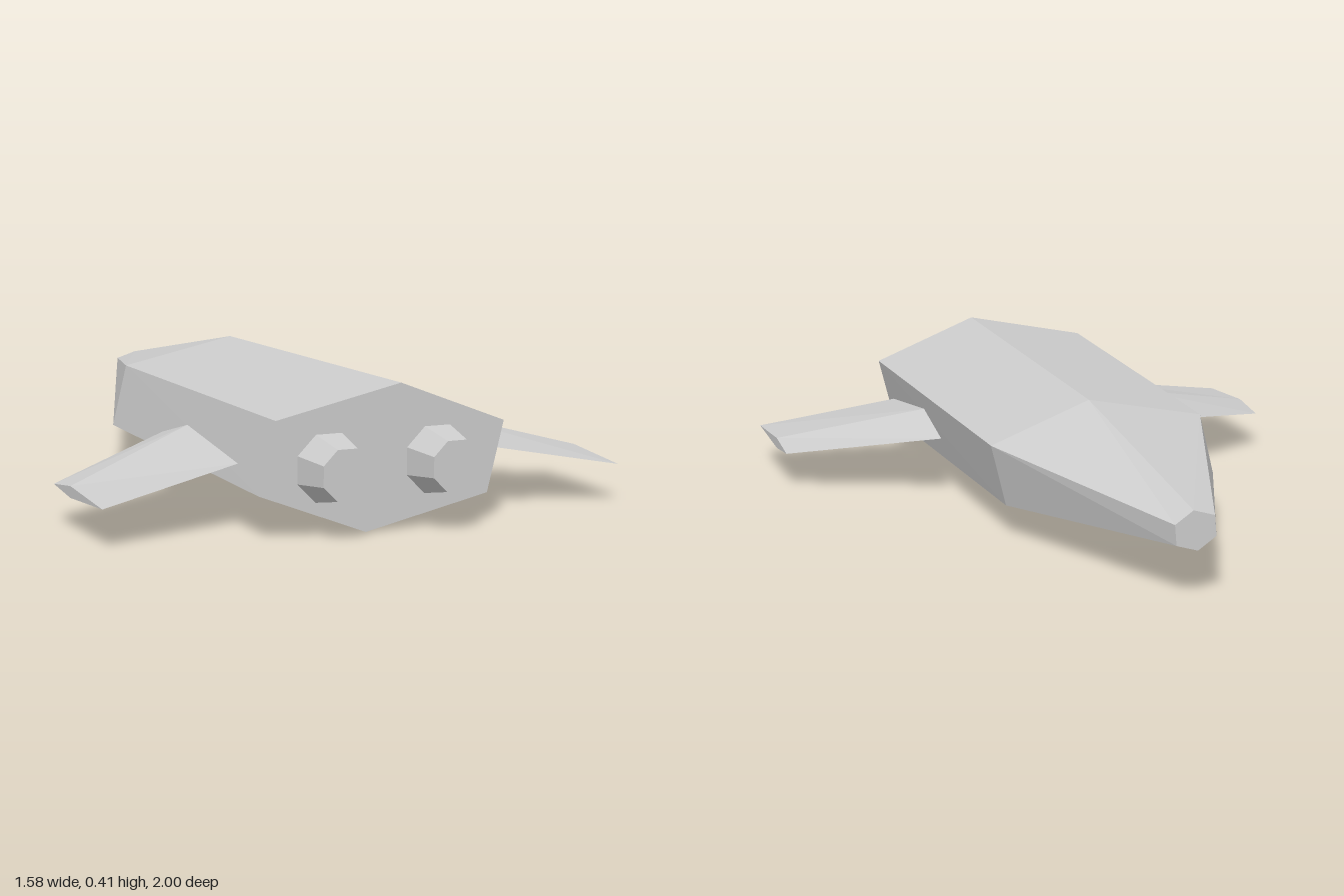
import * as THREE from 'three';

// Skin a closed, faceted solid over rings of points; each ring runs clockwise
// when looking from the first ring towards the last.
function loft(rings) {
  const n = rings[0].length;
  const pos = [];
  const tri = (a, b, c) => pos.push(...a, ...b, ...c);
  for (let i = 0; i < rings.length - 1; i++) {
    const r = rings[i], s = rings[i + 1];
    for (let j = 0; j < n; j++) {
      const k = (j + 1) % n;
      tri(r[j], r[k], s[k]);
      tri(r[j], s[k], s[j]);
    }
  }
  const first = rings[0], last = rings[rings.length - 1];
  for (let j = 1; j < n - 1; j++) {
    tri(first[0], first[j + 1], first[j]);
    tri(last[0], last[j], last[j + 1]);
  }
  const geometry = new THREE.BufferGeometry();
  geometry.setAttribute('position', new THREE.Float32BufferAttribute(pos, 3));
  geometry.computeVertexNormals();
  return geometry;
}

// Skewed hexagon: three corners, repeated by a half turn about (0, cy)
function hexagon(z, cy, corners) {
  return [
    ...corners.map(([x, y]) => [x, cy + y, z]),
    ...corners.map(([x, y]) => [-x, cy - y, z]),
  ];
}

export function createModel() {
  const model = new THREE.Group();
  model.name = 'spacecraft';
  const hullGrey = new THREE.MeshStandardMaterial({ color: 0xcccccc });
  hullGrey.name = 'hull grey';

  const add = (name, geometry) => {
    const mesh = new THREE.Mesh(geometry, hullGrey);
    mesh.name = name;
    model.add(mesh);
    return mesh;
  };

  // Hull: stern, shoulder and nose tip
  add('hull', loft([
    hexagon(0.885, 0.206, [[0.052, 0.203], [0.373, 0.078], [0.323, -0.123]]),
    hexagon(-0.275, 0.207, [[0.047, 0.184], [0.347, 0.071], [0.303, -0.112]]),
    hexagon(-1, 0.193, [[0.007, 0.057], [0.06, 0.021], [0.055, -0.038]]),
  ]));

  for (const side of [1, -1]) {
    const label = side > 0 ? 'left' : 'right';

    // Wing: diamond sections at root and tip (ridge, trailing edge, keel, leading edge)
    const section = (x, points) => {
      const ring = points.map(([y, z]) => [side * x, y, z]);
      return side > 0 ? ring : ring.reverse();
    };
    add(label + 'Wing', loft([
      section(0.365, [[0.24, 0.37], [0.19, 0.73], [0.153, 0.37], [0.19, 0.18]]),
      section(0.792, [[0.133, 0.57], [0.115, 0.817], [0.1, 0.57], [0.115, 0.435]]),
    ]));

    // Engine: tapered octagonal nozzle with flats on its sides
    const nozzle = new THREE.CylinderGeometry(0.076, 0.102, 0.12, 8, 1, false, Math.PI / 8)
      .rotateX(Math.PI / 2)
      .toNonIndexed();
    nozzle.computeVertexNormals();
    add(label + 'Engine', nozzle).position.set(side * 0.165, 0.19, 0.94);
  }

  return model;
}
